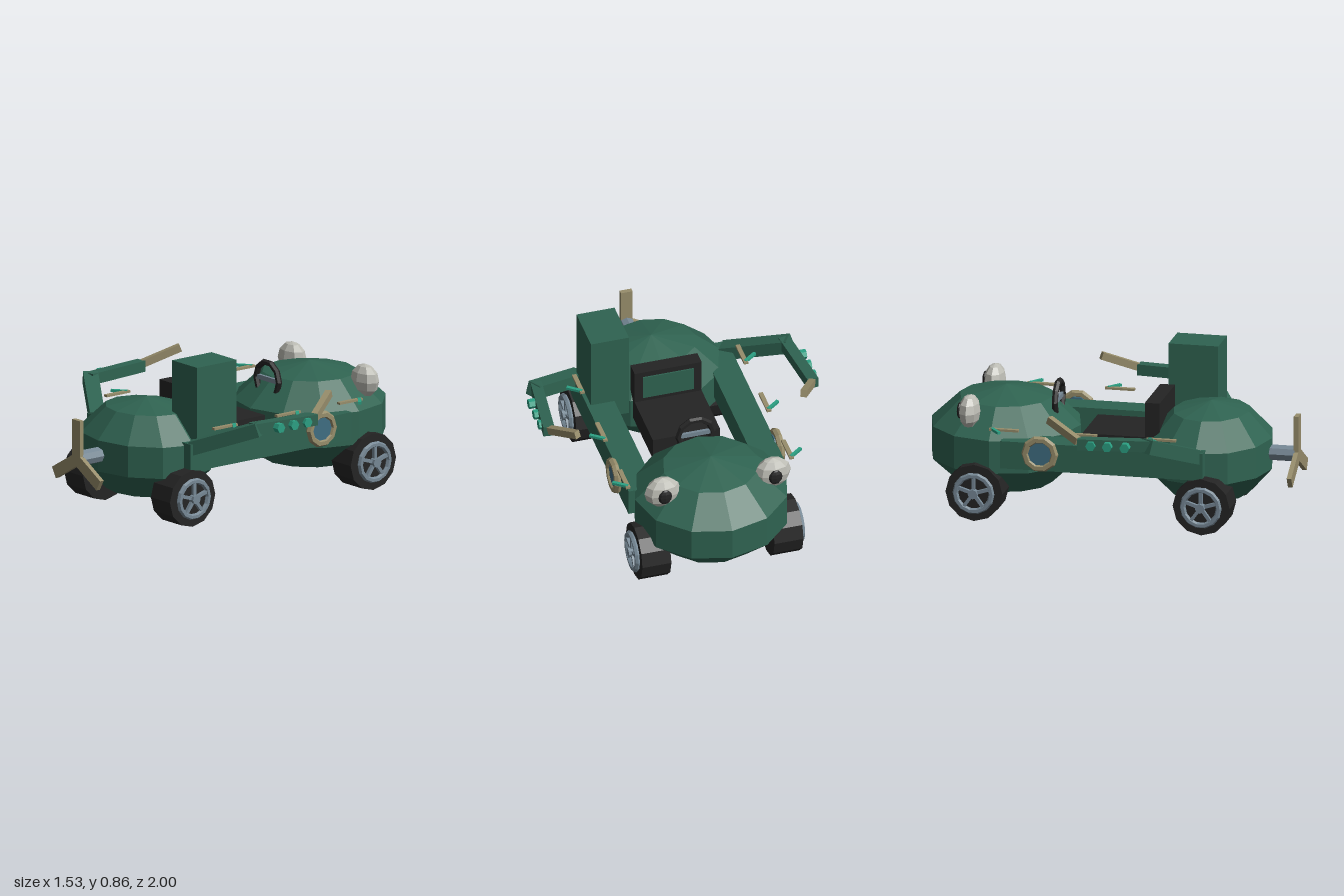
import * as THREE from 'three';

const paint = (name, color) =>
  new THREE.MeshStandardMaterial({ name, color, flatShading: true });

export function createModel() {
  const green = paint('body green', 0x2f6351);
  const black = paint('rubber black', 0x242424);
  const brass = paint('dull brass', 0x978d6b);
  const steel = paint('blue steel', 0x768895);
  const glass = paint('window blue', 0x3f6d82);
  const teal = paint('teal', 0x2ba083);
  const white = paint('lamp white', 0xbdbdb5);

  const model = new THREE.Group();
  model.name = 'propellerCar';

  function add(name, geometry, material, x = 0, y = 0, z = 0, parent = model) {
    const mesh = new THREE.Mesh(geometry, material);
    mesh.name = name;
    mesh.position.set(x, y, z);
    parent.add(mesh);
    return mesh;
  }

  // Box given by its lower and upper corners
  function block(name, material, [x0, y0, z0], [x1, y1, z1]) {
    return add(name, new THREE.BoxGeometry(x1 - x0, y1 - y0, z1 - z0), material,
      (x0 + x1) / 2, (y0 + y1) / 2, (z0 + z1) / 2);
  }

  // Rectangular bar running from a to b
  function bar(name, material, a, b, w, h) {
    const start = new THREE.Vector3(...a), end = new THREE.Vector3(...b);
    const mid = start.clone().add(end).multiplyScalar(0.5);
    const mesh = add(name, new THREE.BoxGeometry(w, h, start.distanceTo(end)), material, mid.x, mid.y, mid.z);
    mesh.lookAt(end);
    return mesh;
  }

  const ball = (rx, ry, rz, n, m) => new THREE.SphereGeometry(1, n, m).scale(rx, ry, rz);
  const discX = (r, len, n) => new THREE.CylinderGeometry(r, r, len, n).rotateZ(Math.PI / 2);
  const ringX = (r, tube, n) => new THREE.TorusGeometry(r, tube, 6, n).rotateY(Math.PI / 2);

  // Two faceted pods
  add('frontPod', ball(0.415, 0.275, 0.347, 12, 5), green, 0, 0.345, 0.52);
  add('rearPod', ball(0.44, 0.29, 0.426, 12, 5), green, 0, 0.347, -0.595);

  // Tall box beside the seat
  block('tallBox', green, [0.205, 0.35, 0.24], [0.415, 0.855, 0.51]);

  // Seat with green back panel
  block('seatBase', black, [-0.185, 0.32, -0.14], [0.185, 0.445, 0.28]);
  block('seatBack', black, [-0.185, 0.44, 0.2], [0.185, 0.635, 0.28]);
  block('seatPanel', green, [-0.14, 0.47, 0.192], [0.14, 0.605, 0.2]);

  // Steering wheel
  add('steeringWheel', new THREE.TorusGeometry(0.095, 0.017, 6, 10), black, 0, 0.575, -0.31);
  block('steeringBar', steel, [-0.09, 0.565, -0.318], [0.09, 0.59, -0.302]);

  // Propeller on its shaft
  add('propellerShaft', new THREE.CylinderGeometry(0.043, 0.043, 0.18, 8).rotateX(Math.PI / 2),
    steel, 0, 0.352, 0.89);
  for (let i = 0; i < 3; i++) {
    const blade = add('propellerBlade', new THREE.BoxGeometry(0.065, 0.215, 0.025).translate(0, 0.1075, 0),
      brass, 0, 0.35, 0.987);
    blade.rotation.z = i * Math.PI * 2 / 3;
  }

  for (const s of [1, -1]) {
    // Side beam
    add('sideBeam', new THREE.BoxGeometry(0.15, 0.15, 1.1), green, s * 0.36, 0.372, 0.02);

    // Wheels with rim, hub and five spokes
    for (const z of [0.565, -0.67]) {
      const wheel = new THREE.Group();
      wheel.name = 'wheel';
      wheel.position.set(s * 0.365, 0.155, z);
      model.add(wheel);
      add('tyre', discX(0.155, 0.16, 12), black, 0, 0, 0, wheel);
      add('rim', ringX(0.098, 0.016, 14), steel, s * 0.09, 0, 0, wheel);
      add('hub', discX(0.026, 0.04, 8), steel, s * 0.096, 0, 0, wheel);
      for (let i = 0; i < 5; i++) {
        const spoke = add('spoke', new THREE.BoxGeometry(0.02, 0.095, 0.018).translate(0, 0.05, 0),
          steel, s * 0.09, 0, 0, wheel);
        spoke.rotation.x = i * Math.PI * 2 / 5;
      }
    }

    // Bent arm with brass tip and teal studs
    bar('upperArm', green, [s * 0.40, 0.42, 0.53], [s * 0.71, 0.55, 0.325], 0.08, 0.075);
    bar('foreArm', green, [s * 0.685, 0.55, 0.355], [s * 0.73, 0.55, -0.04], 0.06, 0.06);
    bar('armTip', brass, [s * 0.725, 0.56, -0.04], [s * 0.625, 0.64, -0.22], 0.035, 0.04);
    for (const z of [0.22, 0.125, 0.035])
      add('armStud', discX(0.027, 0.05, 6), teal, s * 0.742, 0.547, z);

    // Floating side rails, each with a slanted teal peg
    for (const z of [-0.505, -0.08, 0.35]) {
      add('sideRail', new THREE.BoxGeometry(0.024, 0.012, 0.16), brass, s * 0.452, 0.515, z);
      bar('railPeg', teal, [s * 0.45, 0.516, z - 0.065], [s * 0.52, 0.516, z - 0.012], 0.018, 0.014);
    }

    // Porthole
    add('portholeRing', ringX(0.08, 0.021, 10), brass, s * 0.452, 0.395, -0.31);
    add('portholeGlass', discX(0.066, 0.03, 10), glass, s * 0.444, 0.395, -0.31);

    // Headlamp with dark lens
    add('headlamp', ball(0.1, 0.09, 0.058, 8, 6), white, s * 0.305, 0.565, -0.725);
    add('lampLens', ball(0.038, 0.045, 0.016, 8, 6), black, s * 0.305, 0.565, -0.778);
  }

  return model;
}
